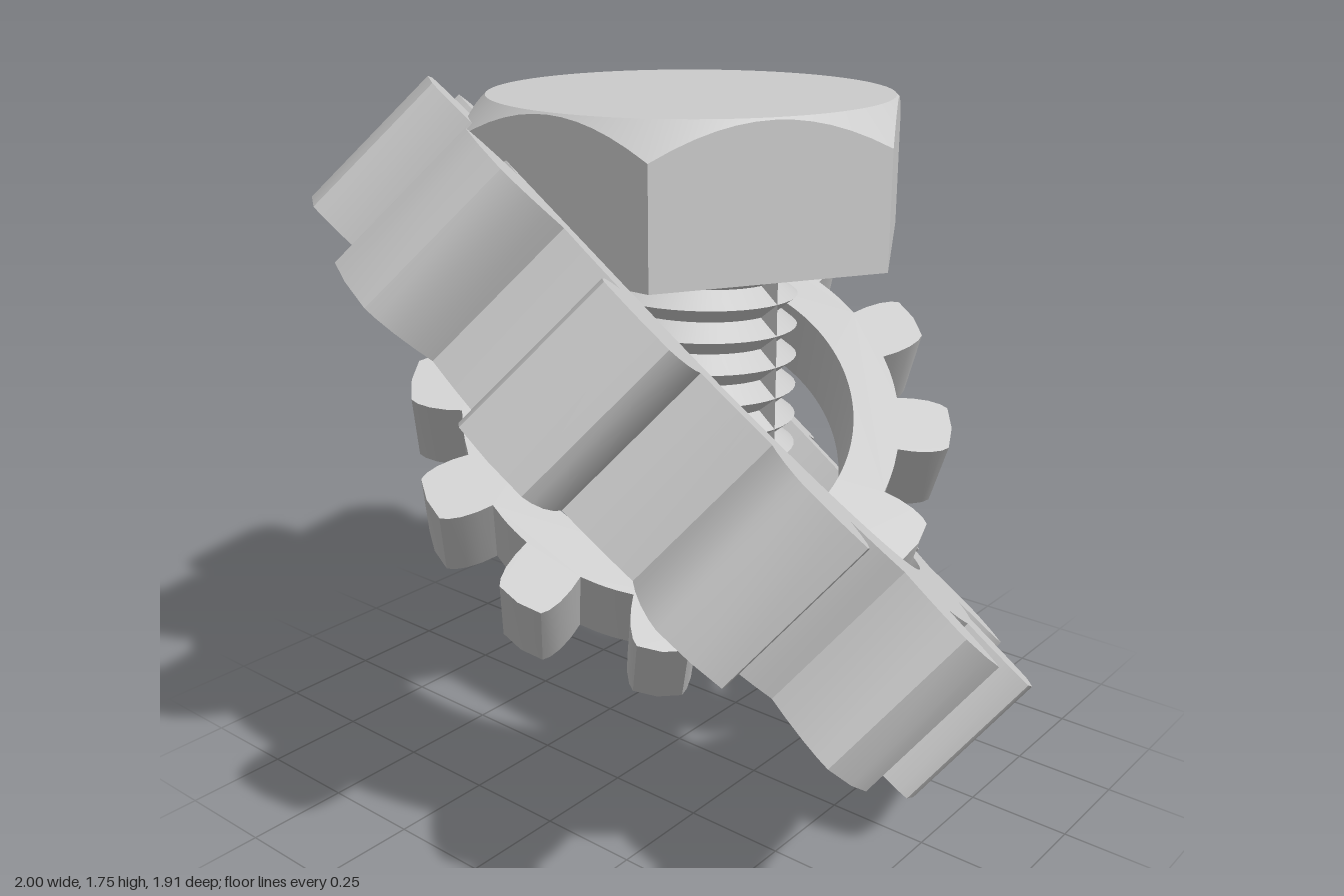
import * as THREE from 'three';
import { toCreasedNormals } from 'three/addons/utils/BufferGeometryUtils.js';

const material = new THREE.MeshStandardMaterial({ color: 0xcccccc });

function part(name, geometry, crease = 0.4) {
  const mesh = new THREE.Mesh(toCreasedNormals(geometry, crease), material);
  mesh.name = name;
  return mesh;
}

// Skin a list of closed rings, ordered from bottom to top
function loft(rings) {
  const n = rings[0].length, index = [];
  for (let k = 0; k < rings.length - 1; k++) {
    for (let i = 0; i < n; i++) {
      const a = k * n + i, b = k * n + (i + 1) % n;
      index.push(a, a + n, b, b, a + n, b + n);
    }
  }
  const g = new THREE.BufferGeometry();
  g.setAttribute('position', new THREE.Float32BufferAttribute(rings.flat(2), 3));
  g.setIndex(index);
  return g;
}

// Ring gear: 12 teeth slightly undercut at the root, round bore
function gearGeometry() {
  const teeth = 12, step = Math.PI * 2 / teeth;
  const flank = [[0.83, 0.118], [0.89, 0.122], [0.95, 0.118], [0.995, 0.106], [1.02, 0.09]];
  const points = [];
  const add = (r, a) => points.push(new THREE.Vector2(r * Math.cos(a), r * Math.sin(a)));
  for (let t = 0; t < teeth; t++) {
    const a = t * step;
    for (const [r, w] of flank) add(r, a - w / r);
    add(1.03, a);
    for (const [r, w] of [...flank].reverse()) add(r, a + w / r);
    for (const f of [0.42, 0.5, 0.58]) add(0.83, a + f * step);
  }
  const shape = new THREE.Shape(points);
  shape.holes.push(new THREE.Path().absarc(0, 0, 0.654, 0, Math.PI * 2, true));
  return new THREE.ExtrudeGeometry(shape, { depth: 0.385, bevelEnabled: false, curveSegments: 64 })
    .translate(0, 0, -0.385 / 2);
}

// Place a gear with its axis along the given direction
function gear(name, axis, phase, scale) {
  const n = new THREE.Vector3(...axis).normalize();
  const u = new THREE.Vector3(1, 0, 0).addScaledVector(n, -n.x).normalize();
  const v = new THREE.Vector3().crossVectors(n, u);
  const g = gearGeometry().rotateZ(THREE.MathUtils.degToRad(phase)).scale(scale, scale, scale);
  g.applyMatrix4(new THREE.Matrix4().makeBasis(u, v, n));
  const mesh = part(name, g);
  mesh.position.set(0, 0.878, 0);
  return mesh;
}

// Hexagonal head with a conical chamfer on top
function headGeometry() {
  const n = 72, apothem = 0.4825, topR = 0.478, y0 = 1.36, y1 = 1.71;
  const ring = f => Array.from({ length: n }, (_, i) => {
    const a = i / n * Math.PI * 2;
    const local = (a % (Math.PI / 3)) - Math.PI / 6;
    const [r, y] = f(apothem / Math.cos(local));
    return [r * Math.cos(a), y, r * Math.sin(a)];
  });
  return loft([
    ring(() => [0, y0]),
    ring(h => [h, y0]),
    ring(h => [h, y1 - (h - topR) * 1.0]),
    ring(() => [topR, y1]),
    ring(() => [0, y1]),
  ]);
}

// Threaded shaft: alternating root and crest helices, trimmed at both ends
function shaftGeometry() {
  const n = 48, pitch = 0.077, y0 = 0.43, y1 = 1.34, rings = [];
  const ring = (r, yAt) => Array.from({ length: n + 1 }, (_, i) => {
    const a = i / n * Math.PI * 2;
    return [r * Math.cos(a), yAt(i / n), r * Math.sin(a)];
  });
  rings.push(ring(0, () => y0));
  const count = Math.ceil((y1 - y0) / pitch) * 2 + 2;
  for (let k = -2; k <= count; k++) {
    rings.push(ring(k % 2 ? 0.262 : 0.215,
      t => THREE.MathUtils.clamp(y0 + (k / 2 + t) * pitch, y0, y1)));
  }
  rings.push(ring(0.25, () => y1), ring(0.25, () => 1.365));
  return loft(rings);
}

export function createModel() {
  const model = new THREE.Group();
  model.name = 'boltAndGears';

  const bolt = new THREE.Group();
  bolt.name = 'bolt';
  bolt.add(part('boltHead', headGeometry(), 0.2), part('threadedShaft', shaftGeometry(), 0.5));
  bolt.position.z = -0.042;

  model.add(
    bolt,
    gear('largeGear', [0.46, 0.69, -0.556], 27, 1),
    gear('smallGear', [0.433, 0.79, 0.433], 0, 0.64),
  );
  return model;
}
